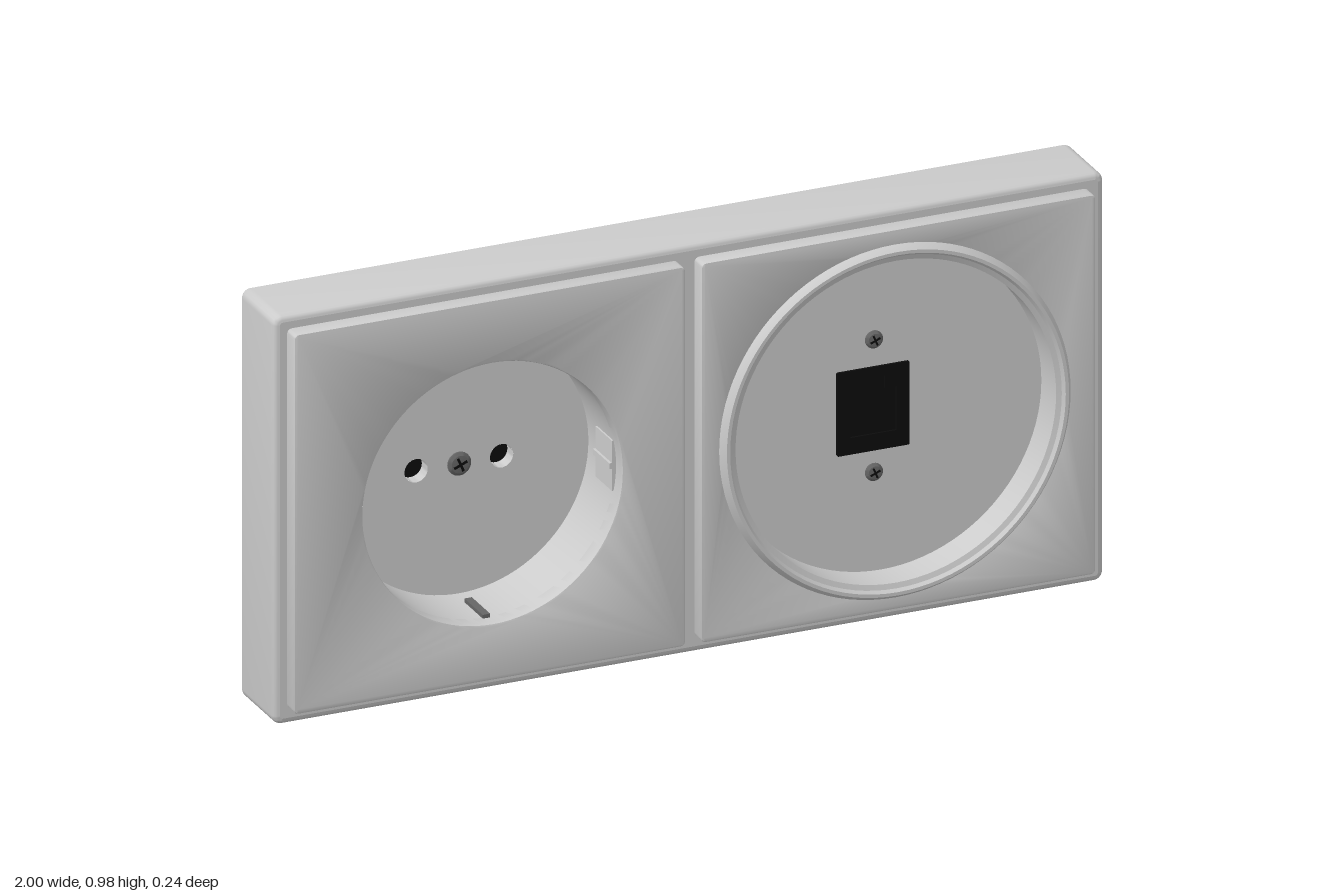
import * as THREE from 'three';
import { toCreasedNormals } from 'three/addons/utils/BufferGeometryUtils.js';

const grey = new THREE.MeshStandardMaterial({ color: 0xcccccc });
const thin = new THREE.MeshStandardMaterial({ color: 0xcccccc, side: THREE.DoubleSide });
const black = new THREE.MeshStandardMaterial({ color: 0x0c0c0c });
const metal = new THREE.MeshStandardMaterial({ color: 0x666666 });

const H = 0.98, BACK = -0.12, FRONT = 0.065, PLATE = 0.105;
const LEFT = { x: -0.49, y: 0.485, r: 0.312, floor: -0.08 };
const RIGHT = { x: 0.478, y: 0.49, r: 0.386, floor: 0.03 };

function add(parent, name, geometry, material = grey, x = 0, y = 0, z = 0) {
  const mesh = new THREE.Mesh(geometry, material);
  mesh.name = name;
  mesh.position.set(x, y, z);
  parent.add(mesh);
  return mesh;
}

// Counter-clockwise rounded rectangle outline
function roundedRect(x0, y0, x1, y1, r, n = 5) {
  const corners = [[x1 - r, y1 - r], [x0 + r, y1 - r], [x0 + r, y0 + r], [x1 - r, y0 + r]];
  return corners.flatMap(([cx, cy], k) => Array.from({ length: n + 1 }, (_, i) => {
    const a = (k + i / n) * Math.PI / 2;
    return new THREE.Vector2(cx + r * Math.cos(a), cy + r * Math.sin(a));
  }));
}

const circle = (x, y, r) => new THREE.Path().absarc(x, y, r, 0, Math.PI * 2, true);

// Lathe turned so that its axis points out of the front
function turned(profile, segments = 96) {
  const g = new THREE.LatheGeometry(profile.map(p => new THREE.Vector2(...p)), segments);
  return toCreasedNormals(g.rotateX(Math.PI / 2), 0.4);
}

// Side wall of the frame with rounded front and back edges
function shellGeometry() {
  const b = 0.015, rings = [];
  for (let i = 0; i <= 5; i++) {
    const a = i / 5 * Math.PI / 2;
    rings.push([BACK + b - b * Math.cos(a), b - b * Math.sin(a)]);
  }
  for (let i = 0; i <= 5; i++) {
    const a = i / 5 * Math.PI / 2;
    rings.push([FRONT - b + b * Math.sin(a), b - b * Math.cos(a)]);
  }
  const pos = [], index = [];
  let n = 0;
  rings.forEach(([z, inset], j) => {
    const loop = roundedRect(-1 + inset, inset, 1 - inset, H - inset, 0.022 - inset);
    n = loop.length;
    loop.forEach((p, i) => {
      pos.push(p.x, p.y, z);
      if (j === rings.length - 1) return;
      const a = j * n + i, c = j * n + (i + 1) % n;
      index.push(a, c, c + n, a, c + n, a + n);
    });
  });
  const g = new THREE.BufferGeometry();
  g.setAttribute('position', new THREE.Float32BufferAttribute(pos, 3));
  g.setIndex(index);
  return toCreasedNormals(g, 0.6);
}

// Square cover plate with a round opening
function plateGeometry(x0, x1, hole, r) {
  const shape = new THREE.Shape(roundedRect(x0, 0.037, x1, 0.948, 0.012));
  shape.holes.push(circle(hole.x, hole.y, r));
  const b = 0.006;
  return toCreasedNormals(new THREE.ExtrudeGeometry(shape, {
    depth: PLATE - FRONT - b, bevelThickness: b, bevelSize: b, bevelOffset: -b,
    bevelSegments: 2, curveSegments: 48,
  }), 0.5);
}

// Domed screw head with a cross slot
function screw(parent, x, y, z, r) {
  const g = new THREE.Group();
  g.name = 'screw';
  g.position.set(x, y, z);
  add(g, 'screwHead', turned([[r, 0], [r, 0.004], [r * 0.75, 0.009], [0, 0.011]], 24), metal);
  for (const a of [0.4, 0.4 + Math.PI / 2]) {
    add(g, 'screwSlot', new THREE.BoxGeometry(r * 1.2, r * 0.2, 0.003), black, 0, 0, 0.0105).rotation.z = a;
  }
  parent.add(g);
}

function frame() {
  const g = new THREE.Group();
  g.name = 'frame';
  const outline = () => new THREE.Shape(roundedRect(-0.985, 0.015, 0.985, H - 0.015, 0.007));
  add(g, 'frameSides', shellGeometry());
  add(g, 'frameBack', new THREE.ShapeGeometry(outline()).rotateY(Math.PI), grey, 0, 0, BACK);
  const face = outline();
  face.holes.push(circle(LEFT.x, LEFT.y, LEFT.r + 0.002), circle(RIGHT.x, RIGHT.y, RIGHT.r + 0.002));
  add(g, 'frameFront', new THREE.ShapeGeometry(face, 48), grey, 0, 0, FRONT);
  return g;
}

function powerSocket() {
  const { x, y, r, floor } = LEFT;
  const g = new THREE.Group();
  g.name = 'powerSocket';
  add(g, 'socketPlate', plateGeometry(-0.968, -0.025, LEFT, r), grey, 0, 0, FRONT);
  add(g, 'socketWall', turned([[r, PLATE - 0.006], [r, floor]]), thin, x, y);

  // Recess floor with two pin holes
  const base = new THREE.Shape().absarc(0, 0, r, 0, Math.PI * 2, false);
  const pins = [-0.103, 0.103];
  pins.forEach(px => base.holes.push(circle(px, 0, 0.028)));
  add(g, 'socketFloor', new THREE.ShapeGeometry(base, 48), grey, x, y, floor);
  for (const px of pins) {
    add(g, 'pinHole', turned([[0.028, 0], [0.028, -0.032]], 32), thin, x + px, y, floor);
    add(g, 'pinHoleEnd', new THREE.CircleGeometry(0.028, 32), black, x + px, y, floor - 0.032);
  }
  screw(g, x, y, floor, 0.028);

  // Side guides, each split by a ridge, and earth clips above and below
  for (const s of [-1, 1]) {
    add(g, 'sideGuide', new THREE.BoxGeometry(0.012, 0.12, 0.09), grey, x + s * (r - 0.004), y, 0.025);
    add(g, 'guideRidge', new THREE.BoxGeometry(0.012, 0.014, 0.09), grey, x + s * (r - 0.01), y, 0.025);
    add(g, 'earthClip', new THREE.BoxGeometry(0.018, 0.012, 0.1), metal, x, y + s * (r - 0.003), 0.02);
  }
  return g;
}

function dataSocket() {
  const { x, y, r, floor } = RIGHT;
  const g = new THREE.Group();
  g.name = 'dataSocket';
  add(g, 'dataPlate', plateGeometry(0.013, 0.963, RIGHT, r + 0.012), grey, 0, 0, FRONT);

  // Raised rim running down into the shallow recess
  add(g, 'rimAndRecess', turned([
    [0.424, PLATE - 0.002], [0.422, 0.108], [0.412, 0.122], [0.404, 0.122],
    [0.398, 0.114], [r, 0.11], [r, floor], [0, floor],
  ]), grey, x, y);

  // Black jack with a stepped opening
  const jack = new THREE.Shape(roundedRect(-0.087, -0.1, 0.087, 0.1, 0.002, 1));
  const opening = [[-0.055, -0.06], [-0.055, 0.045], [-0.028, 0.045], [-0.028, 0.075],
    [0.028, 0.075], [0.028, 0.045], [0.055, 0.045], [0.055, -0.06]];
  jack.holes.push(new THREE.Path(opening.map(p => new THREE.Vector2(...p))));
  add(g, 'jackFace', new THREE.ExtrudeGeometry(jack, { depth: 0.006, bevelEnabled: false }),
    black, 0.457, 0.495, floor);
  add(g, 'jackInside', new THREE.PlaneGeometry(0.15, 0.17), black, 0.457, 0.495, floor + 0.001);
  for (const sy of [0.66, 0.342]) screw(g, 0.46, sy, floor, 0.021);
  return g;
}

export function createModel() {
  const model = new THREE.Group();
  model.name = 'doubleWallSocket';
  model.add(frame(), powerSocket(), dataSocket());
  return model;
}
